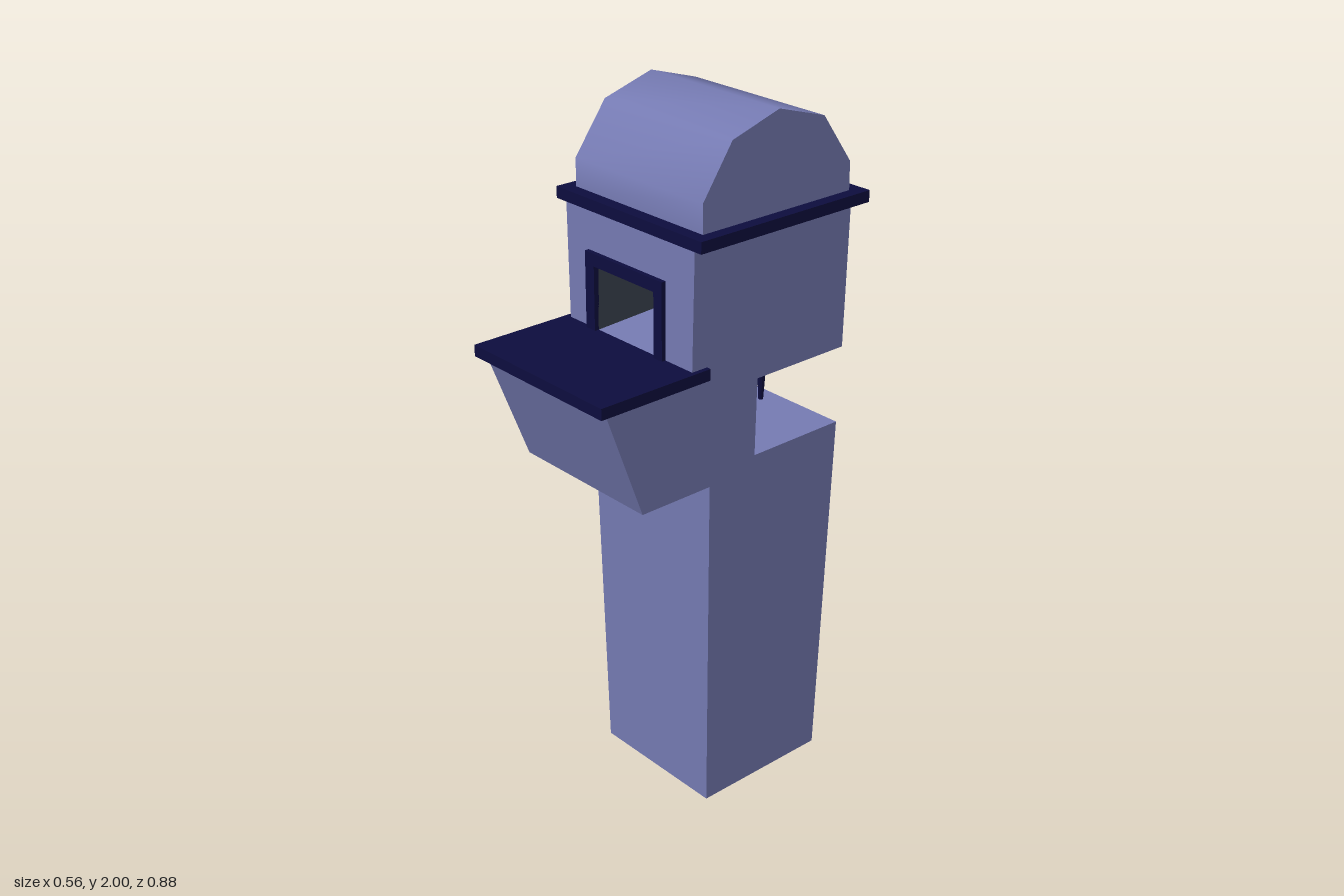
import * as THREE from 'three';

const mat = (name, color, side = THREE.DoubleSide) => {
  const m = new THREE.MeshStandardMaterial({ color, side });
  m.name = name;
  return m;
};

// Half width of the tapering tower at height y
const halfWidth = (y) => 0.215 + 0.02 * y;

// Open strip spanning -x to +x along a list of [z, y] points
function strip(points, width) {
  const pos = [], idx = [];
  points.forEach(([z, y], i) => {
    pos.push(-width(y), y, z, width(y), y, z);
    const k = 2 * i;
    if (i < points.length - 1) idx.push(k, k + 1, k + 3, k, k + 3, k + 2);
  });
  const g = new THREE.BufferGeometry();
  g.setAttribute('position', new THREE.Float32BufferAttribute(pos, 3));
  g.setIndex(idx);
  g.computeVertexNormals();
  return g;
}

// Flat side wall from a [z, y] outline; s = 1 for +x, -1 for -x
function sideWall(points, width, s) {
  const g = new THREE.ShapeGeometry(new THREE.Shape(points.map((p) => new THREE.Vector2(...p))));
  const p = g.attributes.position;
  for (let i = 0; i < p.count; i++) {
    const z = p.getX(i), y = p.getY(i);
    p.setXYZ(i, s * width(y), y, z);
  }
  if (s > 0) g.setIndex(Array.from(g.index.array).reverse());
  g.computeVertexNormals();
  return g;
}

const rect = (Type, x0, x1, y0, y1) =>
  new Type([[x0, y0], [x1, y0], [x1, y1], [x0, y1]].map((p) => new THREE.Vector2(...p)));

export function createModel() {
  const wall = mat('periwinkle wall', 0x757ab2);
  const navy = mat('navy trim', 0x0d0d3e);
  const dark = mat('dark interior', 0x3c4350);
  const green = mat('bright green sign', 0x5cbc60);
  const deepGreen = mat('deep green pane', 0x2a6620);

  const model = new THREE.Group();
  const add = (name, geometry, material, parent = model) => {
    const m = new THREE.Mesh(geometry, material);
    m.name = name;
    parent.add(m);
    return m;
  };
  const box = (name, material, x0, x1, y0, y1, z0, z1, parent) =>
    add(name, new THREE.BoxGeometry(x1 - x0, y1 - y0, z1 - z0), material, parent)
      .position.set((x0 + x1) / 2, (y0 + y1) / 2, (z0 + z1) / 2);

  // Tower: side outline with counter in front and notch at the back, open below
  const outline = [
    [0.05, 0], [0.07, 1.03], [0.30, 1.03], [0.425, 1.36], [0.14, 1.36], [0.14, 1.72],
    [-0.405, 1.72], [-0.405, 1.295], [-0.09, 1.295], [-0.09, 1.07], [-0.40, 1.07], [-0.38, 0],
  ];
  const tower = new THREE.Group();
  tower.name = 'tower';
  model.add(tower);
  for (const s of [-1, 1]) add('towerSide', sideWall(outline, halfWidth, s), wall, tower);
  for (let i = 0; i < outline.length - 1; i++) {
    if (i !== 4) add('towerPanel', strip([outline[i], outline[i + 1]], halfWidth), wall, tower);
  }

  // Front wall with the serving hatch cut out
  const a = halfWidth(1.36), b = halfWidth(1.72);
  const front = new THREE.Shape([[-a, 1.36], [a, 1.36], [b, 1.72], [-b, 1.72]].map((p) => new THREE.Vector2(...p)));
  front.holes.push(rect(THREE.Path, -0.125, 0.11, 1.38, 1.56));
  add('frontWall', new THREE.ShapeGeometry(front).translate(0, 0, 0.14), wall, tower);

  // Hatch recess: dark sides, ceiling and back, pale floor rising slightly
  const makeRecess = () => {
    const g = new THREE.BoxGeometry(0.235, 0.18, 0.44).translate(-0.0075, 1.47, -0.08);
    const p = g.attributes.position;
    for (let i = 0; i < p.count; i++) {
      if (p.getZ(i) < 0 && p.getY(i) < 1.4) p.setY(i, 1.4);
    }
    return g;
  };
  const faces = (g, list) => {
    const src = Array.from(g.index.array);
    g.clearGroups();
    // Reversed corners turn the faces inward
    g.setIndex(list.flatMap((f) => src.slice(f * 6, f * 6 + 6).reverse()));
    g.computeVertexNormals();
    return g;
  };
  add('hatchRecess', faces(makeRecess(), [0, 1, 2, 5]), dark);
  add('hatchFloor', faces(makeRecess(), [3]), wall);

  // Hatch frame
  const frame = rect(THREE.Shape, -0.16, 0.142, 1.375, 1.595);
  frame.holes.push(rect(THREE.Path, -0.125, 0.11, 1.38, 1.56));
  add('hatchFrame', new THREE.ExtrudeGeometry(frame, { depth: 0.015, bevelEnabled: false }).translate(0, 0, 0.138), navy);

  // Counter top and eaves slab
  box('counterTop', navy, -0.26, 0.256, 1.348, 1.38, 0.09, 0.445);
  box('eavesSlab', navy, -0.28, 0.28, 1.705, 1.737, -0.44, 0.147);

  // Barrel roof, smooth over the top with flat ends
  const arch = [
    [0.11, 1.73], [0.11, 1.815], [0.012, 1.953], [-0.145, 2.0],
    [-0.302, 1.953], [-0.4, 1.815], [-0.4, 1.73],
  ];
  const roofWidth = (y) => 0.24 + 0.02 * (2 - y);
  add('roofBarrel', strip(arch, roofWidth), wall);
  for (const s of [-1, 1]) add('roofEnd', sideWall(arch, roofWidth, s), wall);

  // Stepped nozzle hanging in the rear notch
  const nozzle = [
    [0, 1.075], [0.007, 1.075], [0.018, 1.25], [0.018, 1.258], [0.034, 1.258], [0.034, 1.276],
    [0.053, 1.276], [0.053, 1.297], [0, 1.297],
  ].map((p) => new THREE.Vector2(...p));
  const lathe = new THREE.LatheGeometry(nozzle, 12).toNonIndexed();
  lathe.computeVertexNormals();
  add('nozzle', lathe, navy).position.set(0, 0, -0.34);

  // Pane on the inner wall of the notch
  box('notchPane', deepGreen, -0.12, 0.095, 1.085, 1.255, -0.097, -0.089);
  box('notchPaneEdge', navy, 0.095, 0.115, 1.085, 1.255, -0.097, -0.089);

  // Side sign with plain abstract inlays
  const sign = new THREE.Group();
  sign.name = 'sideSign';
  model.add(sign);
  box('signPlate', green, -0.254, -0.246, 1.535, 1.64, -0.355, 0.09, sign);
  box('signBar', wall, -0.256, -0.25, 1.572, 1.592, -0.31, -0.11, sign);
  for (const z of [-0.04, 0.02]) box('signDot', wall, -0.256, -0.25, 1.575, 1.6, z - 0.013, z + 0.013, sign);

  return model;
}
